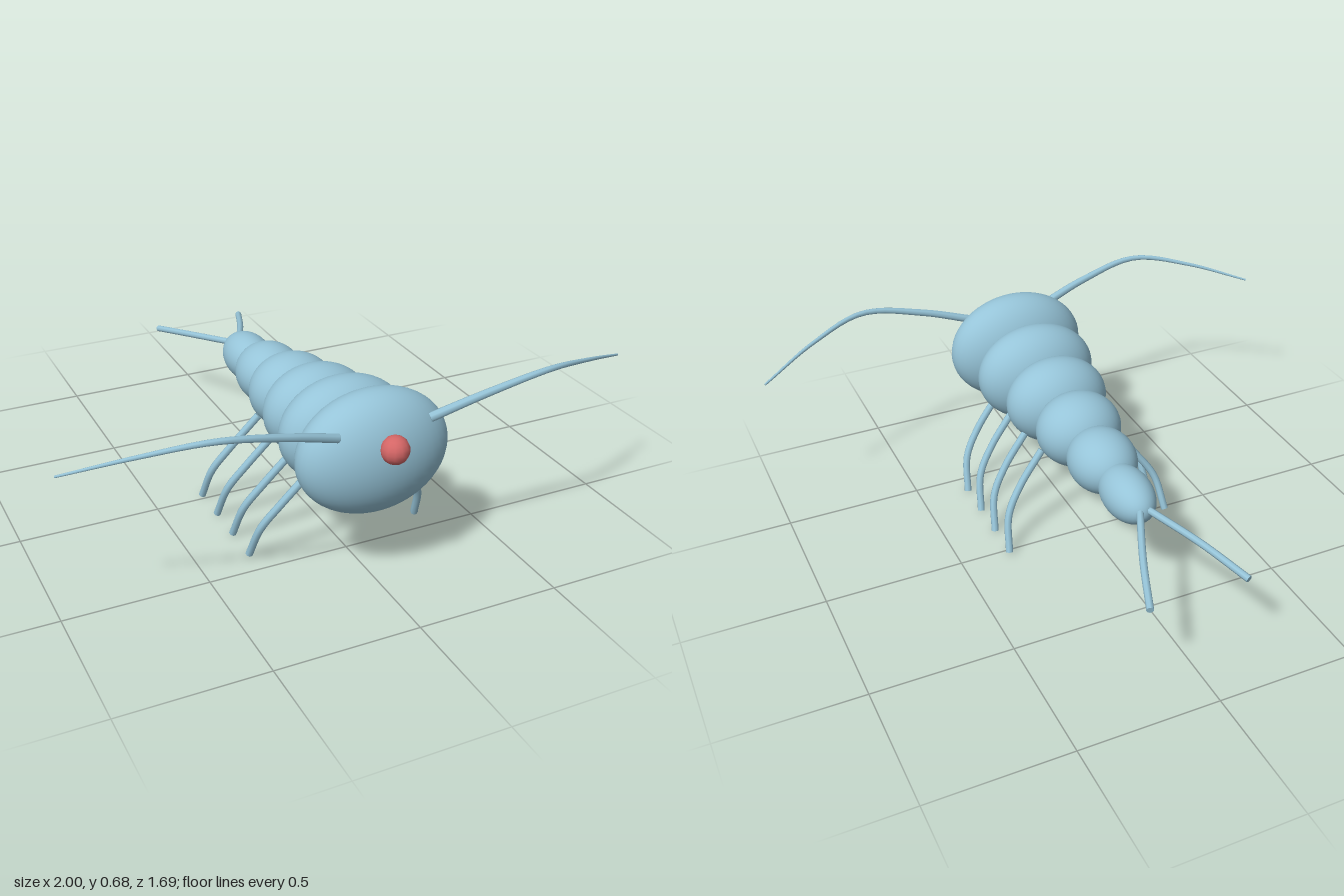
import * as THREE from 'three';

export function createModel() {
  const root = new THREE.Group();
  root.name = 'insect';
  const blue = new THREE.MeshStandardMaterial({ color: 0x96c4d8 });
  blue.name = 'pale blue';
  const red = new THREE.MeshStandardMaterial({ color: 0xd46666 });
  red.name = 'soft red';

  function add(geometry, material, name, parent = root) {
    const mesh = new THREE.Mesh(geometry, material);
    mesh.name = name;
    parent.add(mesh);
    return mesh;
  }

  // Capped tube along a smooth path, tapering from r0 to r1
  function limb(points, r0, r1, name, parent) {
    const curve = new THREE.CatmullRomCurve3(points.map(p => new THREE.Vector3(...p)));
    const steps = 24, sides = 8;
    const geometry = new THREE.TubeGeometry(curve, steps, 1, sides);
    const pos = geometry.attributes.position;
    const v = new THREE.Vector3();
    for (let i = 0; i < pos.count; i++) {
      const t = Math.floor(i / (sides + 1)) / steps;
      const c = curve.getPointAt(t);
      v.fromBufferAttribute(pos, i).sub(c).multiplyScalar(r0 + (r1 - r0) * t).add(c);
      pos.setXYZ(i, v.x, v.y, v.z);
    }
    add(geometry, blue, name, parent);
    for (const [t, r, s] of [[0, r0, -1], [1, r1, 1]]) {
      const cap = add(new THREE.CircleGeometry(r, sides), blue, name + 'End', parent);
      cap.position.copy(curve.getPointAt(t));
      cap.quaternion.setFromUnitVectors(new THREE.Vector3(0, 0, 1),
        curve.getTangentAt(t).multiplyScalar(s));
    }
  }

  // The same limb on both sides
  function pair(points, r0, r1, name) {
    for (const [side, label] of [[1, 'left'], [-1, 'right']]) {
      const group = new THREE.Group();
      group.name = label + name;
      root.add(group);
      limb(points.map(([x, y, z]) => [x * side, y, z]), r0, r1, name.toLowerCase(), group);
    }
  }

  // Body: six overlapping ellipsoids shrinking to the rear
  for (let i = 0; i < 6; i++) {
    const segment = add(new THREE.SphereGeometry(1, 40, 28), blue, i ? 'bodySegment' + i : 'head');
    segment.scale.set(0.264 - 0.0354 * i, 0.212 - 0.0247 * i, 0.14);
    segment.position.set(0, 0.457 - 0.0173 * i, 0.657 - 0.1965 * i);
  }

  // Nose
  add(new THREE.SphereGeometry(0.047, 12, 10), red, 'nose').position.set(0, 0.528, 0.8);

  // Antennae
  pair([[0.16, 0.57, 0.73], [0.34, 0.625, 0.755], [0.57, 0.669, 0.765],
    [0.785, 0.63, 0.69], [0.998, 0.563, 0.583]], 0.016, 0.004, 'Antenna');

  // Four pairs of legs sweeping back
  for (let i = 0; i < 4; i++) {
    const z = 0.408 - 0.1425 * i;
    pair([[0.14, 0.34, z + 0.104], [0.24, 0.222, z + 0.08],
      [0.298, 0.13, z + 0.05], [0.32, 0.006, z]], 0.0135, 0.0135, 'Leg' + (i + 1));
  }

  // Forked tail
  pair([[0.01, 0.383, -0.44], [0.105, 0.351, -0.65], [0.177, 0.316, -0.84]],
    0.0125, 0.0125, 'TailFork');

  return root;
}
